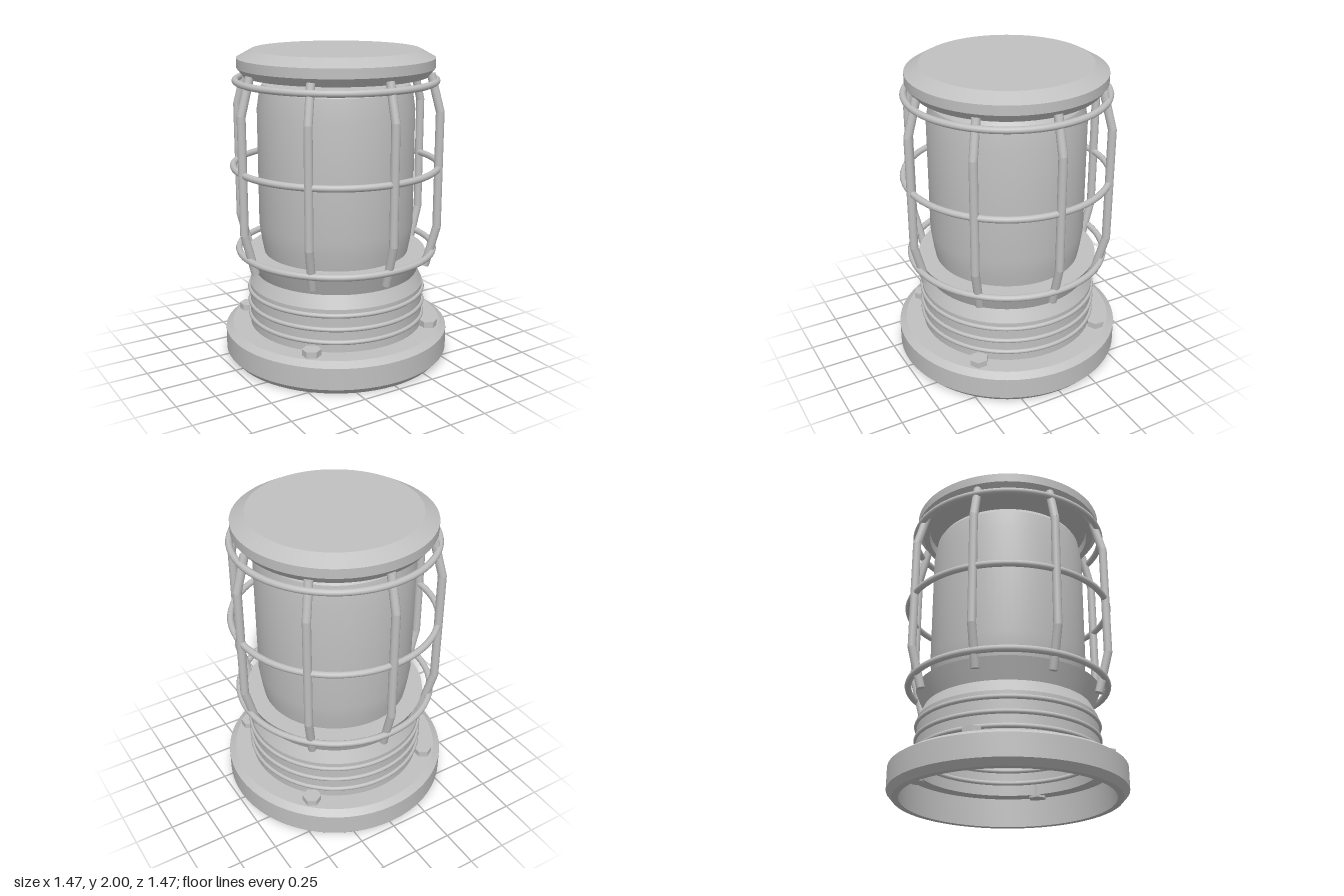
import * as THREE from 'three';
import { toCreasedNormals } from 'three/addons/utils/BufferGeometryUtils.js';

export function createModel() {
  const model = new THREE.Group();
  model.name = 'cagedLantern';
  const metal = new THREE.MeshStandardMaterial({ color: 0xc0c0c0, side: THREE.DoubleSide });
  metal.name = 'grey metal';

  const add = (name, geometry, parent = model) => {
    const mesh = new THREE.Mesh(geometry, metal);
    mesh.name = name;
    parent.add(mesh);
    return mesh;
  };
  // Turned part from [radius, height] points
  const turned = (name, points) => add(name, toCreasedNormals(
    new THREE.LatheGeometry(points.map(([r, y]) => new THREE.Vector2(r, y)), 64), 0.3));
  const ring = (name, radius, tube, y) => {
    const mesh = add(name, new THREE.TorusGeometry(radius, tube, 10, 64));
    mesh.rotation.x = Math.PI / 2;
    mesh.position.y = y;
  };

  // Hollow foot with chamfered edges
  turned('base', [[0.66, 0], [0.70, 0], [0.735, 0.04], [0.735, 0.18], [0.69, 0.21],
    [0.57, 0.21], [0.57, 0.19], [0.66, 0.19], [0.66, 0]]);

  // Thin threaded collar, flared neck and lip
  turned('collar', [[0.57, 0.19], [0.57, 0.49], [0.53, 0.57], [0.585, 0.70], [0.47, 0.70]]);
  for (const y of [0.275, 0.36, 0.45]) ring('thread', 0.57, 0.015, y);

  // Lamp cover
  turned('lampCover', [[0.47, 0.70], [0.485, 0.78], [0.50, 0.89], [0.50, 1.63],
    [0.48, 1.76], [0.46, 1.79], [0, 1.79]]);

  // Cap with a shallow recess underneath
  turned('cap', [[0, 1.90], [0.54, 1.90], [0.54, 1.84], [0.58, 1.84], [0.62, 1.89],
    [0.62, 1.95], [0.53, 2.0], [0, 2.0]]);

  // Hexagonal bolts on the foot
  for (const x of [-0.44, 0.44]) for (const z of [-0.44, 0.44]) {
    const bolt = add('bolt', toCreasedNormals(new THREE.CylinderGeometry(0.06, 0.06, 0.075, 6), 0.3));
    bolt.position.set(x, 0.2125, z);
  }

  // Cage: eight bent bars and three hoops
  const path = [[0.592, 0.63], [0.66, 0.89], [0.66, 1.63], [0.598, 1.86]]
    .map(([r, y]) => new THREE.Vector3(r, y, 0));
  const up = new THREE.Vector3(0, 1, 0);
  for (let i = 0; i < 8; i++) {
    const bar = new THREE.Group();
    bar.name = 'cageBar';
    bar.rotation.y = i * Math.PI / 4;
    for (let k = 0; k < 3; k++) {
      const dir = path[k + 1].clone().sub(path[k]);
      const rod = add('barSection', new THREE.CylinderGeometry(0.027, 0.027, dir.length() + 0.006, 12), bar);
      rod.position.copy(path[k]).addScaledVector(dir, 0.5);
      rod.quaternion.setFromUnitVectors(up, dir.normalize());
    }
    model.add(bar);
  }
  ring('lowerHoop', 0.635, 0.021, 0.72);
  ring('middleHoop', 0.657, 0.021, 1.27);
  ring('upperHoop', 0.63, 0.021, 1.81);

  return model;
}
